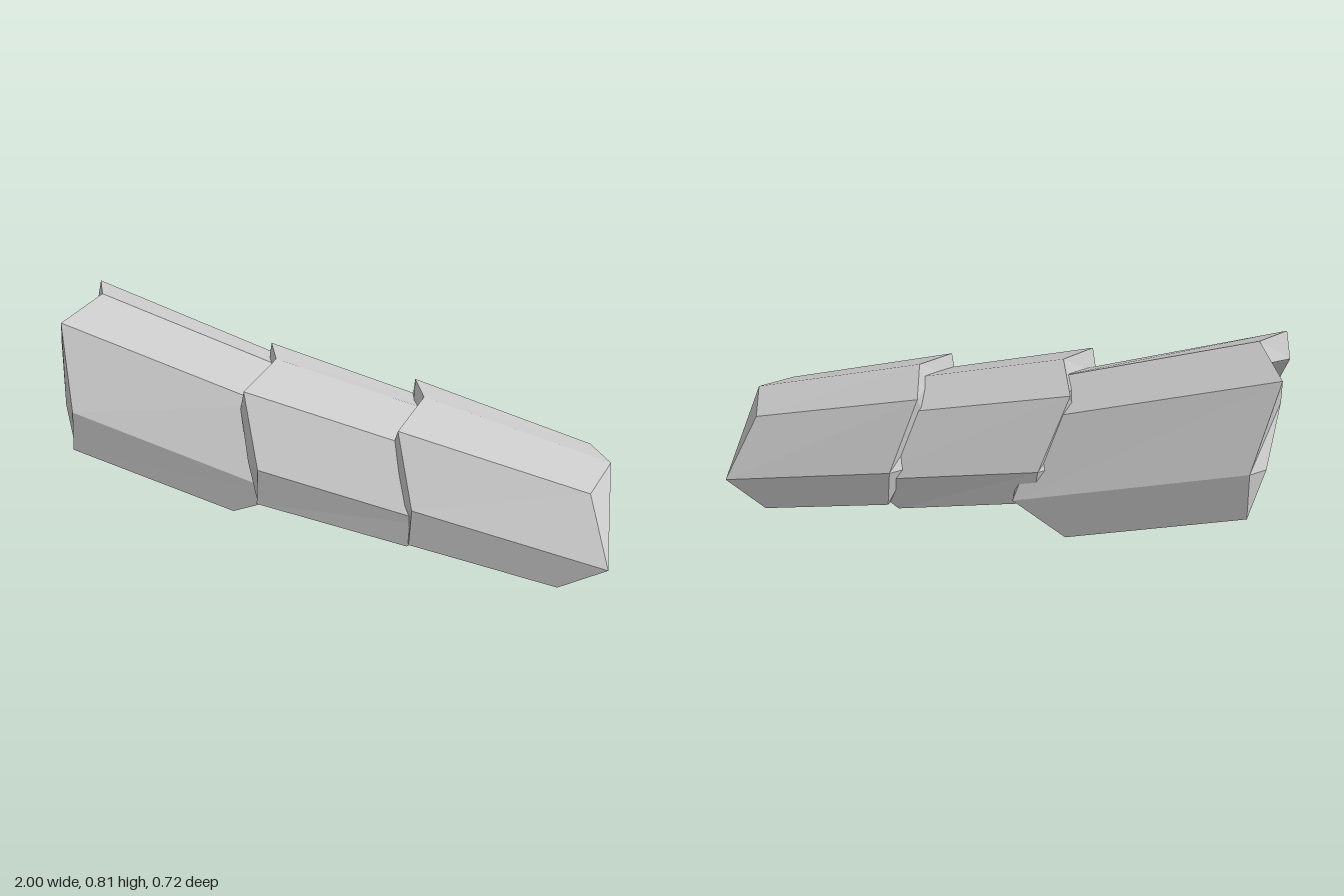
import * as THREE from 'three';

// Each plate: outer section at its upper (left) and lower (right) end,
// from the front hem over the crest to the back hem, as [x, y, z].
const PLATES = [
  {
    name: 'upperPlate',
    left: [[-0.91, 0.345, 0.36], [-0.89, 0.505, 0.36], [-0.97, 0.775, 0.215], [-0.9, 0.81, 0.025], [-1, 0.77, -0.155], [-0.95, 0.5, -0.295], [-0.96, 0.335, -0.295]],
    right: [[-0.33, 0.145, 0.305], [-0.12, 0.235, 0.285], [-0.23, 0.52, 0.155], [-0.17, 0.56, -0.02], [-0.25, 0.515, -0.19], [-0.18, 0.245, -0.325], [-0.37, 0.135, -0.32]],
  },
  {
    name: 'middlePlate',
    left: [[-0.22, 0.235, 0.355], [-0.21, 0.38, 0.355], [-0.3, 0.6, 0.215], [-0.245, 0.635, 0.022], [-0.325, 0.595, -0.16], [-0.26, 0.36, -0.297], [-0.24, 0.23, -0.295]],
    right: [[0.31, 0.115, 0.3], [0.45, 0.21, 0.28], [0.36, 0.42, 0.15], [0.42, 0.455, -0.03], [0.34, 0.415, -0.19], [0.4, 0.2, -0.325], [0.26, 0.1, -0.31]],
  },
  {
    name: 'lowerPlate',
    left: [[0.32, 0.135, 0.315], [0.325, 0.28, 0.31], [0.24, 0.505, 0.175], [0.29, 0.54, -0.015], [0.22, 0.5, -0.2], [0.275, 0.265, -0.34], [0.29, 0.125, -0.335]],
    right: [[0.84, 0.015, 0.26], [1, 0.11, 0.24], [0.905, 0.32, 0.105], [0.96, 0.35, -0.06], [0.88, 0.315, -0.22], [0.955, 0.1, -0.36], [0.8, 0, -0.35]],
  },
];

// Offsets from the outer section to the hollow inside, at each end
const INSET_LEFT = [[-0.01, 0, -0.03], [-0.055, -0.01, -0.055], [-0.025, -0.09, -0.025], [-0.035, -0.075, 0], [0, -0.11, 0.07], [-0.045, 0, 0.05], [0, 0, 0.02]];
const INSET_RIGHT = [[-0.01, 0, -0.02], [-0.125, -0.01, -0.02], [-0.04, -0.165, 0.055], [-0.03, -0.1, 0], [-0.04, -0.175, -0.06], [-0.13, -0.015, 0.035], [-0.01, 0, 0.02]];

const inset = (section, offsets) =>
  section.map((p, i) => p.map((v, k) => v + offsets[i][k]));

function plateGeometry({ left, right }) {
  const innerLeft = inset(left, INSET_LEFT);
  const innerRight = inset(right, INSET_RIGHT);
  const pos = [];
  const quad = (a, b, c, d) => pos.push(...a, ...b, ...c, ...a, ...c, ...d);

  const last = left.length - 1;
  for (let i = 0; i < last; i++) {
    const j = i + 1;
    quad(left[i], right[i], right[j], left[j]); // outside
    quad(innerLeft[j], innerRight[j], innerRight[i], innerLeft[i]); // hollow
    quad(left[j], innerLeft[j], innerLeft[i], left[i]); // upper rim
  }

  // lower rim: broad gussets spanning from each side corner to the crest
  const o = right, n = innerRight;
  quad(o[0], n[0], n[1], o[1]);
  quad(o[1], n[1], n[2], n[3]);
  quad(o[1], n[3], o[3], o[2]);
  quad(o[5], o[4], o[3], n[3]);
  quad(o[5], n[3], n[4], n[5]);
  quad(o[5], n[5], n[6], o[6]);

  // front and back hems
  quad(left[0], innerLeft[0], innerRight[0], right[0]);
  quad(right[last], innerRight[last], innerLeft[last], left[last]);

  const geometry = new THREE.BufferGeometry();
  geometry.setAttribute('position', new THREE.Float32BufferAttribute(pos, 3));
  geometry.computeVertexNormals();
  return geometry;
}

export function createModel() {
  const group = new THREE.Group();
  group.name = 'overlappingArmourPlates';
  const material = new THREE.MeshStandardMaterial({ color: 0xcccccc, flatShading: true, side: THREE.DoubleSide });
  for (const plate of PLATES) {
    const mesh = new THREE.Mesh(plateGeometry(plate), material);
    mesh.name = plate.name;
    group.add(mesh);
  }
  return group;
}
